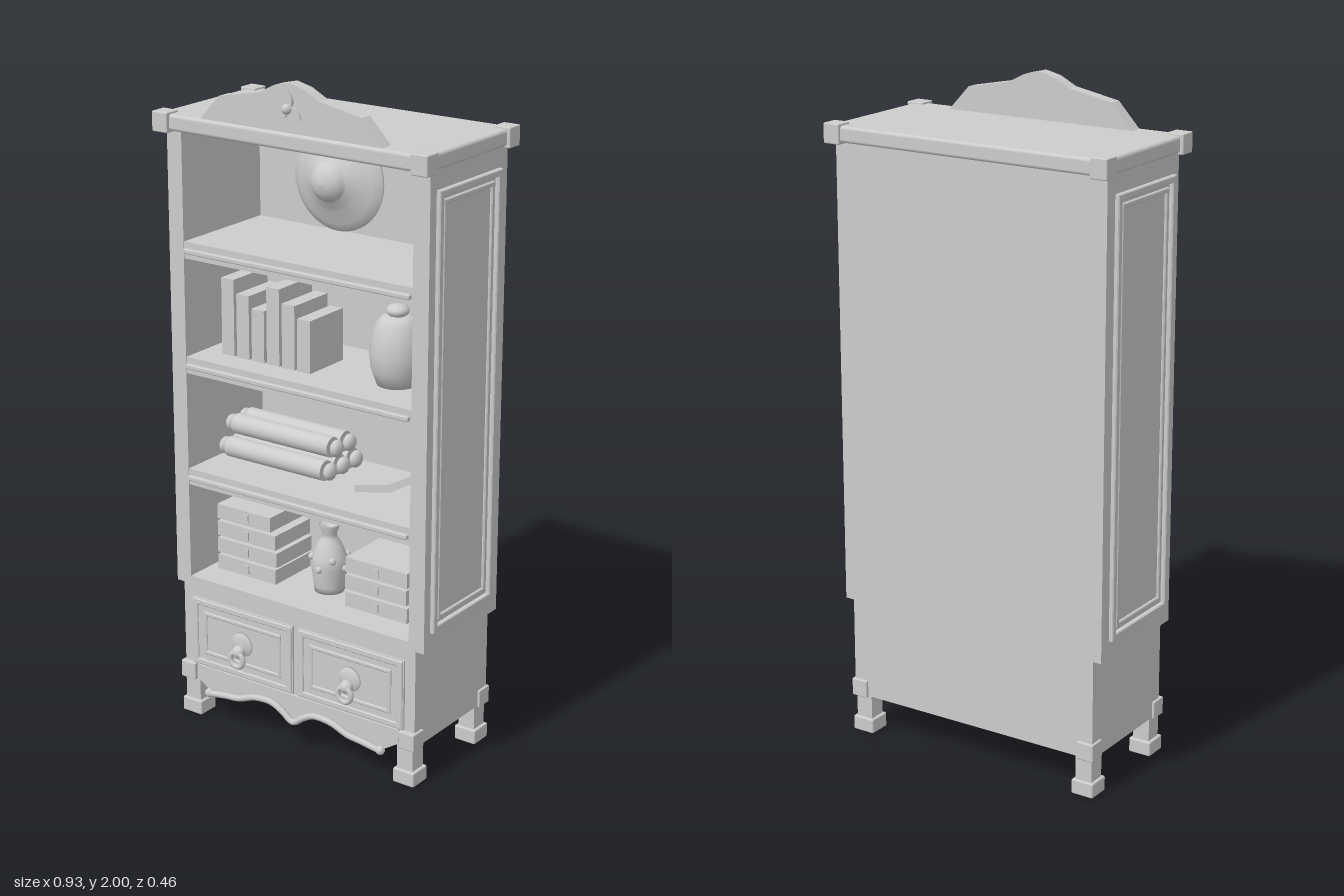
import * as THREE from 'three';
import { RoundedBoxGeometry } from 'three/addons/geometries/RoundedBoxGeometry.js';

export function createModel() {
  const model = new THREE.Group();
  model.name = 'bookcase';
  const grey = new THREE.MeshStandardMaterial({ color: 0xcccccc });
  grey.name = 'plain grey';

  const add = (name, geo, x = 0, y = 0, z = 0, parent = model) => {
    const m = new THREE.Mesh(geo, grey);
    m.name = name;
    m.position.set(x, y, z);
    parent.add(m);
    return m;
  };
  // Box given by its limits on each axis; r rounds its edges
  const box = (name, x0, x1, y0, y1, z0, z1, r = 0, parent = model) => {
    const s = [x1 - x0, y1 - y0, z1 - z0];
    const geo = r ? new RoundedBoxGeometry(...s, 2, r) : new THREE.BoxGeometry(...s);
    return add(name, geo, (x0 + x1) / 2, (y0 + y1) / 2, (z0 + z1) / 2, parent);
  };
  const vec2 = (pts) => pts.map((p) => new THREE.Vector2(...p));
  const extrude = (shape, depth, bevel = 0) => new THREE.ExtrudeGeometry(shape, {
    depth, bevelEnabled: bevel > 0, bevelSize: bevel, bevelThickness: bevel, bevelSegments: 1, curveSegments: 10,
  });
  const lathe = (pts, sides = 28) => new THREE.LatheGeometry(vec2(pts), sides);
  // Rectangular moulding: a frame centred on the origin
  const frame = (w, h, t, depth) => {
    const rect = (a, b) => vec2([[-a, -b], [a, -b], [a, b], [-a, b]]);
    const s = new THREE.Shape(rect(w / 2 - 0.003, h / 2 - 0.003));
    s.holes.push(new THREE.Path(rect(w / 2 - t, h / 2 - t)));
    return extrude(s, depth, 0.003);
  };
  // Three-lobed ornament
  const trefoil = (name, x, y, z, size, depth) => {
    const g = new THREE.Group();
    g.name = name;
    g.position.set(x, y, z);
    const leaf = new THREE.Shape();
    leaf.moveTo(-0.2, 0);
    leaf.bezierCurveTo(-0.5, 0.5, -0.25, 0.8, 0, 1.1);
    leaf.bezierCurveTo(0.25, 0.8, 0.5, 0.5, 0.2, 0);
    const geo = extrude(leaf, depth / size).scale(size, size, size);
    [0, 2.1, -2.1].forEach((a) => { add('leaf', geo, 0, 0, 0, g).rotation.z = a; });
    model.add(g);
    return g;
  };

  // Upper case
  box('backPanel', -0.41, 0.41, 0.425, 1.815, -0.195, -0.175);
  box('caseFloor', -0.41, 0.41, 0.425, 0.45, -0.18, 0.185);
  for (const s of [-1, 1]) {
    const name = s > 0 ? 'left' : 'right';
    const a = s * 0.395, b = s * 0.447;
    box(name + 'Side', Math.min(a, b), Math.max(a, b), 0.425, 1.815, -0.195, 0.185);
    const panel = new THREE.Group();
    panel.name = name + 'SidePanel';
    panel.position.set(s * 0.447, 1.12, 0);
    panel.rotation.y = s * Math.PI / 2;
    add('moulding', frame(0.31, 1.28, 0.017, 0.01), 0, 0, 0, panel);
    add('innerMoulding', frame(0.25, 1.22, 0.012, 0.004), 0, 0, 0, panel);
    model.add(panel);
  }

  // Cornice and its corner blocks
  box('cornice', -0.455, 0.455, 1.815, 1.863, -0.222, 0.217, 0.01);
  for (const x of [-0.438, 0.438]) for (const z of [-0.203, 0.202])
    box('corniceBlock', x - 0.027, x + 0.027, 1.81, 1.869, z - 0.027, z + 0.027, 0.004);

  // Crest
  const crest = new THREE.Shape(vec2([[-0.31, 1.86], [0.31, 1.86], [0.24, 1.935], [0.1, 1.962],
    [0.05, 1.988], [0, 2], [-0.05, 1.988], [-0.1, 1.962], [-0.24, 1.935]]));
  add('crest', extrude(crest, 0.04), 0, 0, 0.166);
  trefoil('crestOrnament', 0, 1.93, 0.204, 0.048, 0.01);
  add('crestBead', new THREE.SphereGeometry(0.015, 16, 12), 0, 1.93, 0.215);

  // Shelves with a thin bead along the front
  for (const y of [1.49, 1.143, 0.795]) {
    box('shelf', -0.395, 0.395, y - 0.05, y, -0.18, 0.183);
    box('shelfBead', -0.39, 0.39, y - 0.033, y - 0.018, 0.18, 0.196, 0.004);
  }

  // Lower case, drawers and handles
  box('lowerCase', -0.42, 0.42, 0.12, 0.428, -0.193, 0.186);
  for (const x of [-0.197, 0.197]) {
    box('drawerFront', x - 0.188, x + 0.188, 0.17, 0.39, 0.18, 0.192);
    add('drawerMoulding', frame(0.37, 0.215, 0.016, 0.004), x, 0.28, 0.19);
    add('drawerInnerMoulding', frame(0.29, 0.14, 0.01, 0.002), x, 0.28, 0.191);
    const plate = add('handlePlate', lathe([[0, 0], [0.04, 0], [0.036, 0.008], [0.02, 0.012], [0, 0.014]]), x, 0.28, 0.19);
    plate.rotation.x = Math.PI / 2;
    add('handleKnob', new THREE.SphereGeometry(0.02, 16, 12), x, 0.262, 0.209);
    add('handleRing', new THREE.TorusGeometry(0.023, 0.008, 10, 24), x, 0.24, 0.219);
  }

  // Wavy apron with a rolled trim
  const half = [[0.04, 0.113], [0.08, 0.13], [0.14, 0.127], [0.2, 0.106], [0.25, 0.1], [0.315, 0.09]];
  const wave = [...half.map(([x, y]) => [-x, y]).reverse(), [0, 0.088], ...half];
  const curve = new THREE.CatmullRomCurve3(wave.map(([x, y]) => new THREE.Vector3(x, y, 0)));
  const edge = curve.getPoints(60).map((p) => new THREE.Vector2(p.x, p.y));
  add('apron', extrude(new THREE.Shape([...edge, ...vec2([[0.37, 0.125], [0.37, 0.168], [-0.37, 0.168], [-0.37, 0.125]])]), 0.025), 0, 0, 0.17);
  add('apronTrim', new THREE.TubeGeometry(curve, 80, 0.01, 8), 0, 0, 0.206);
  for (const x of [-0.315, 0.315])
    add('trimEnd', new THREE.SphereGeometry(0.014, 12, 10), x, 0.092, 0.206);

  // Legs: corner block, post and foot
  for (const sx of [-1, 1]) for (const sz of [-1, 1]) {
    const leg = new THREE.Group();
    leg.name = 'leg';
    leg.position.set(sx * 0.39, 0, sz * 0.163);
    box('post', -0.027, 0.027, 0.04, 0.13, -0.027, 0.027, 0, leg);
    box('foot', -0.036, 0.036, 0, 0.046, -0.036, 0.036, 0.005, leg);
    const cx = sx * 0.01, cz = sz * 0.012;
    box('cornerBlock', cx - 0.027, cx + 0.027, 0.115, 0.17, cz - 0.027, cz + 0.027, 0.004, leg);
    model.add(leg);
  }

  // Round shield against the back
  add('shield', lathe([[0, 0], [0.155, 0], [0.155, 0.008], [0.13, 0.025], [0.085, 0.04], [0.085, 0.047],
    [0.06, 0.055], [0.058, 0.065], [0.045, 0.082], [0.025, 0.094], [0, 0.098]], 40), -0.093, 1.65, -0.16)
    .rotation.x = Math.PI / 2;

  // Upright books
  [1.375, 1.335, 1.3, 1.375, 1.335, 1.3].forEach((top, i) => {
    const x = -0.328 + i * 0.0545;
    box('uprightBook', x, x + 0.045, 1.143, top, -0.06, 0.1);
  });

  // Lidded jar
  add('jar', lathe([[0, 0], [0.058, 0], [0.074, 0.045], [0.08, 0.09], [0.074, 0.14], [0.06, 0.18],
    [0.045, 0.198], [0.024, 0.202], [0, 0.203]], 20), 0.235, 1.143, 0.02);
  add('jarLid', new THREE.SphereGeometry(0.033, 20, 12).scale(1, 0.6, 1), 0.235, 1.358, 0.02);

  // Stacked scrolls with knobbed ends
  const rod = new THREE.CylinderGeometry(0.031, 0.031, 0.35, 20).rotateZ(Math.PI / 2);
  const knob = new THREE.SphereGeometry(0.026, 16, 12).scale(0.65, 1, 1);
  for (const [y, z] of [[0.845, 0.065], [0.845, 0], [0.845, -0.065], [0.907, 0.032], [0.907, -0.032]]) {
    add('scroll', rod, -0.155, y, z);
    for (const x of [-0.347, 0.035]) add('scrollKnob', knob, x, y, z);
  }

  // Curved dagger
  const blade = new THREE.Shape(vec2([[0.125, 0.805], [0.25, 0.832], [0.31, 0.868], [0.365, 0.9], [0.36, 0.92],
    [0.28, 0.875], [0.245, 0.855], [0.125, 0.826]]));
  add('daggerBlade', extrude(blade, 0.025), 0, 0, 0.045);
  trefoil('daggerHilt', 0.361, 0.915, 0.047, 0.04, 0.02);

  // Books lying in stacks, each with a small clasp
  const stack = (cx, widths) => widths.forEach((w, i) => {
    const y = 0.45 + i * 0.0545;
    box('flatBook', cx - 0.108, cx - 0.108 + w, y, y + 0.046, -0.085, 0.09);
    box('bookClasp', cx - 0.01, cx + 0.01, y + 0.01, y + 0.036, 0.085, 0.094);
  });
  stack(-0.257, [0.217, 0.221, 0.216, 0.198]);
  stack(0.215, [0.217, 0.213, 0.216]);

  // Small beaded vase
  add('vase', lathe([[0, 0], [0.045, 0], [0.047, 0.02], [0.055, 0.08], [0.053, 0.11], [0.036, 0.15], [0.024, 0.168],
    [0.022, 0.182], [0.032, 0.208], [0.026, 0.21], [0, 0.195]], 24), 0, 0.45, 0.02);
  for (let i = 0; i < 8; i++) {
    const a = i * Math.PI / 4;
    add('vaseBead', new THREE.SphereGeometry(0.011, 10, 8), Math.sin(a) * 0.053, i % 2 ? 0.56 : 0.53, 0.02 + Math.cos(a) * 0.053);
  }
  return model;
}
